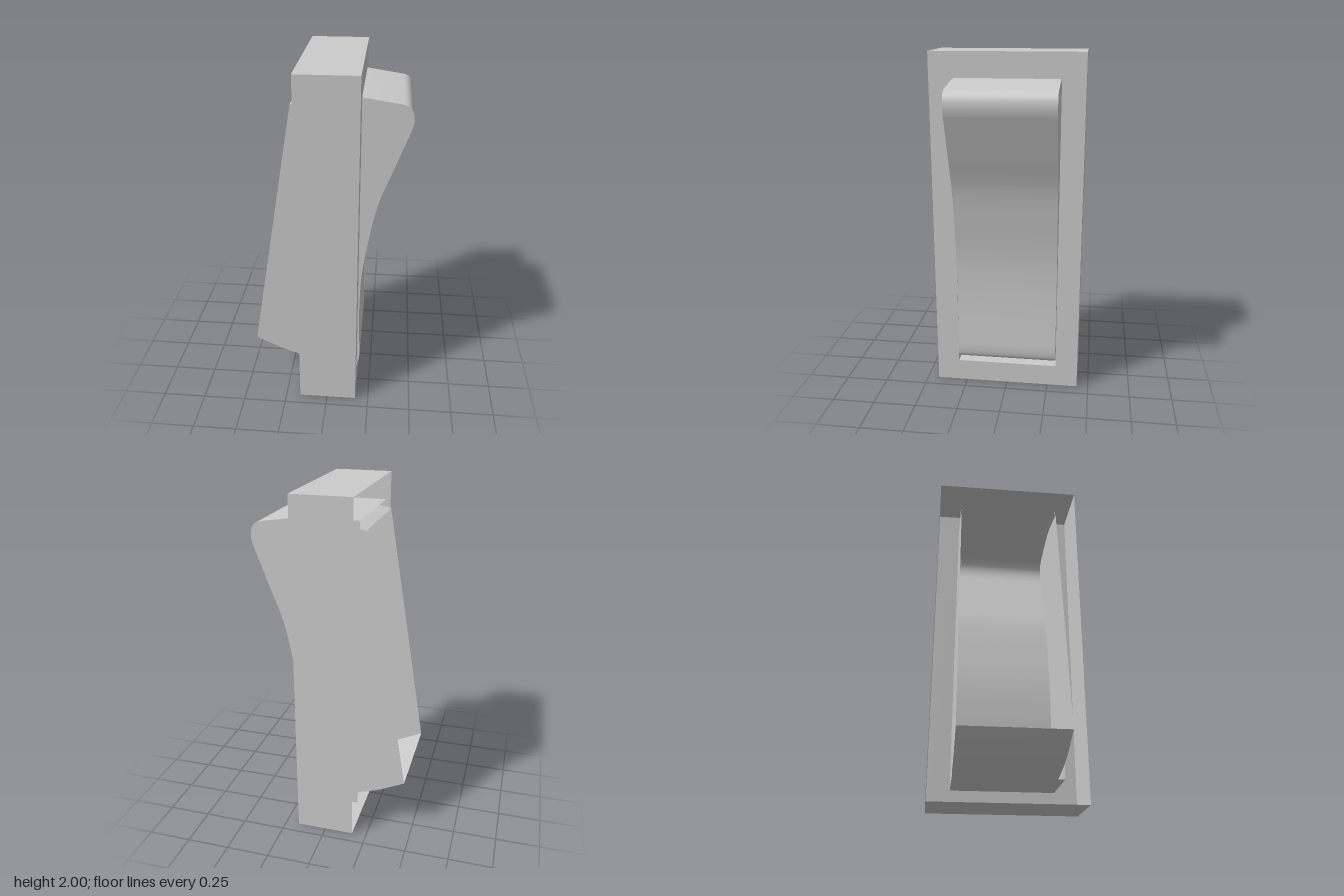
import * as THREE from 'three';

const material = new THREE.MeshStandardMaterial({ color: 0xcccccc, side: THREE.DoubleSide });

// Housing extents
const X0 = -0.165, X1 = 0.172, HALF_Z = 0.432;
const HOLE = { bottom: 0.13, top: 1.858, halfZ: 0.3 };
const ROCKER_HALF_Z = 0.297;

function addMesh(parent, name, geometry) {
  const mesh = new THREE.Mesh(geometry, material);
  mesh.name = name;
  parent.add(mesh);
  return mesh;
}

// Four thin walls running along x, open at both ends
function sleeve(bottom, top, halfZ) {
  const g = new THREE.BoxGeometry(X1 - X0, top - bottom, halfZ * 2);
  g.setIndex(Array.from(g.index.array).slice(12)); // drop the +x and -x faces
  g.clearGroups();
  return g.translate((X0 + X1) / 2, (bottom + top) / 2, 0);
}

// Thin skin that sweeps a profile across the width
function ribbon(points, halfZ) {
  const g = new THREE.PlaneGeometry(1, 1, 1, points.length - 1);
  points.forEach((p, i) => {
    g.attributes.position.setXYZ(i * 2, p.x, p.y, halfZ);
    g.attributes.position.setXYZ(i * 2 + 1, p.x, p.y, -halfZ);
  });
  g.computeVertexNormals();
  return g;
}

// Rectangle outline in the (z, y) plane
function rectangle(Type, halfZ, bottom, top) {
  return new Type([[-halfZ, bottom], [halfZ, bottom], [halfZ, top], [-halfZ, top]]
    .map(([a, b]) => new THREE.Vector2(a, b)));
}

// Side profile of the rocker, from the rear top over the face to the rear bottom
function rockerProfile() {
  const path = new THREE.Path();
  path.moveTo(-0.198, 1.808);
  path.lineTo(-0.165, 1.815);
  path.lineTo(0.05, 1.858);
  path.lineTo(0.172, 1.855);
  path.lineTo(0.385, 1.823);
  path.bezierCurveTo(0.435, 1.815, 0.452, 1.76, 0.43, 1.69);
  path.splineThru([[0.34, 1.45], [0.268, 1.25], [0.218, 1.0], [0.19, 0.8],
    [0.181, 0.6], [0.183, 0.4], [0.188, 0.25]].map(([x, y]) => new THREE.Vector2(x, y)));
  path.bezierCurveTo(0.188, 0.19, 0.18, 0.162, 0.155, 0.162);
  path.quadraticCurveTo(-0.12, 0.175, -0.3, 0.25);
  path.lineTo(-0.445, 0.32);
  return path.getPoints(10);
}

export function createModel() {
  const model = new THREE.Group();
  model.name = 'rockerSwitch';

  // Housing: open at the back, with a window through its face
  const housing = new THREE.Group();
  housing.name = 'housing';
  model.add(housing);
  addMesh(housing, 'outerWalls', sleeve(0, 2, HALF_Z));
  const face = rectangle(THREE.Shape, HALF_Z, 0, 2);
  face.holes.push(rectangle(THREE.Path, HOLE.halfZ, HOLE.bottom, HOLE.top));
  addMesh(housing, 'facePlate',
    new THREE.ShapeGeometry(face).rotateY(Math.PI / 2).translate(X1, 0, 0));
  addMesh(housing, 'windowCollar', sleeve(HOLE.bottom, HOLE.top, HOLE.halfZ));

  // Rocker: a shell open along its slanted back
  const rocker = new THREE.Group();
  rocker.name = 'rocker';
  model.add(rocker);
  const profile = rockerProfile();
  addMesh(rocker, 'rockerSkin', ribbon(profile, ROCKER_HALF_Z));
  const cheek = new THREE.ShapeGeometry(new THREE.Shape(profile));
  addMesh(rocker, 'leftCheek', cheek).position.z = ROCKER_HALF_Z;
  const back = addMesh(rocker, 'rightCheek', cheek.clone().scale(1, 1, -1));
  back.position.z = -ROCKER_HALF_Z;
  // Turn the far cheek outward
  back.geometry.setIndex(Array.from(cheek.index.array).reverse());
  back.geometry.computeVertexNormals();

  return model;
}
